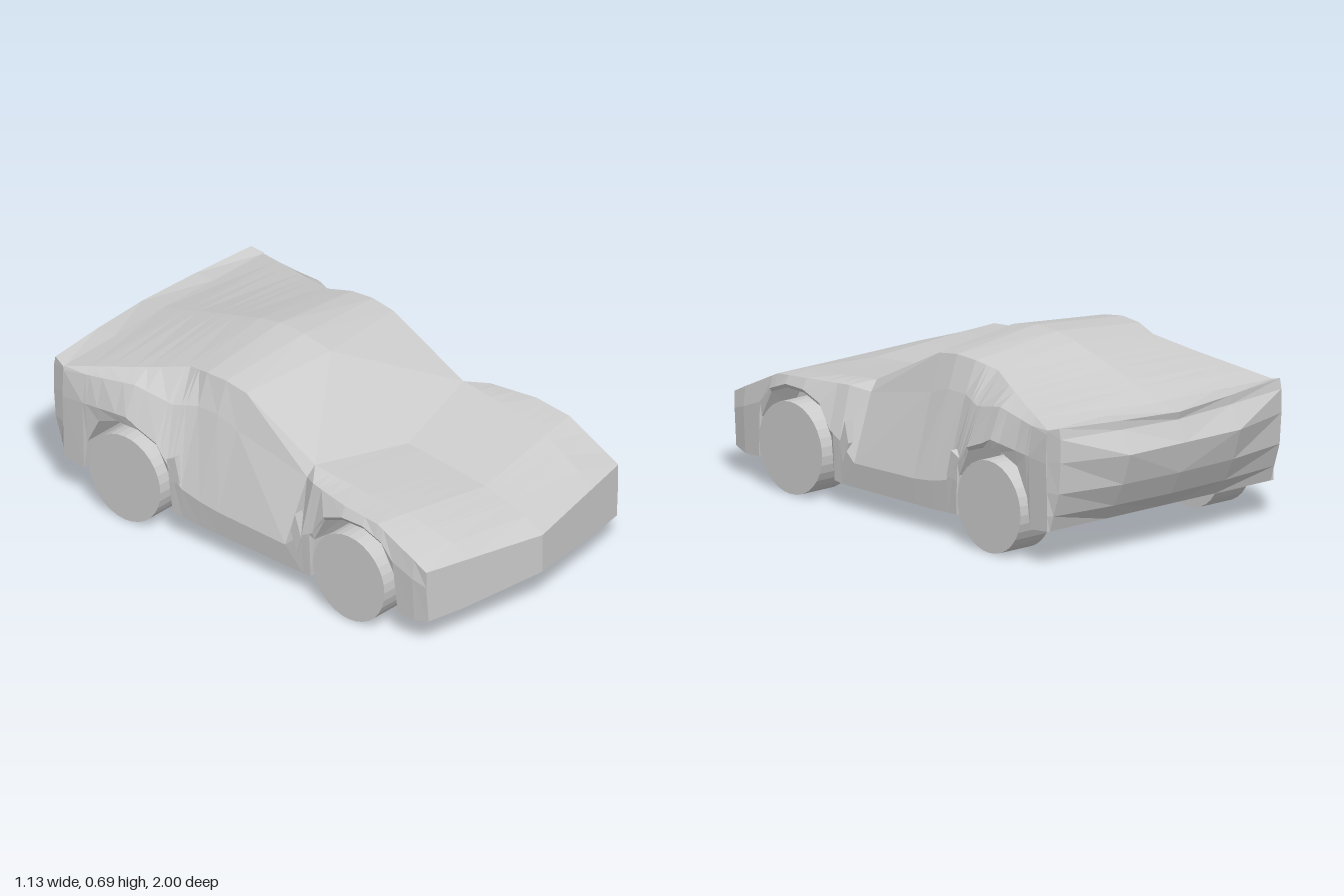
import * as THREE from 'three';

const material = new THREE.MeshStandardMaterial({ color: 0xcccccc, flatShading: true });
const WHEEL_Z = 0.55, WHEEL_R = 0.175;

// Half sections from nose to tail:
// z, forward shift of centre, centre y, roof/hood edge x y, waist x y, side x y, floor y
const SECTIONS = [
  [0.90, 0.10, 0.285, 0.35, 0.305, 0.53, 0.315, 0.53, 0.25, 0.105],
  [0.84, 0.08, 0.335, 0.35, 0.355, 0.53, 0.345, 0.54, 0.27, 0.09],
  [0.66, 0.06, 0.385, 0.38, 0.42, 0.53, 0.43, 0.545, 0.34, 0.10],
  [0.50, 0.06, 0.40, 0.40, 0.44, 0.53, 0.445, 0.55, 0.36, 0.10],
  [0.30, 0.11, 0.415, 0.41, 0.462, 0.49, 0.45, 0.545, 0.25, 0.085],
  [0.22, 0.12, 0.42, 0.41, 0.47, 0.445, 0.43, 0.545, 0.18, 0.085],
  [-0.11, 0.07, 0.665, 0.405, 0.64, 0.45, 0.50, 0.545, 0.19, 0.09],
  [-0.20, 0.03, 0.69, 0.405, 0.655, 0.45, 0.53, 0.545, 0.20, 0.09],
  [-0.29, 0, 0.69, 0.40, 0.65, 0.45, 0.53, 0.545, 0.22, 0.095],
  [-0.39, 0, 0.67, 0.38, 0.63, 0.48, 0.51, 0.55, 0.34, 0.10],
  [-0.55, 0, 0.625, 0.44, 0.59, 0.51, 0.545, 0.56, 0.43, 0.11],
  [-0.86, 0, 0.535, 0.55, 0.525, 0.555, 0.51, 0.56, 0.40, 0.14],
];

// Wheel opening outline: distance from axle, height
const ARCH = [[0, 0.39], [0.05, 0.39], [0.14, 0.355], [0.195, 0.25], [0.212, 0.09]];

function archHeight(z) {
  const d = Math.abs(Math.abs(z) - WHEEL_Z);
  for (let i = 1; i < ARCH.length; i++) {
    const [d0, y0] = ARCH[i - 1], [d1, y1] = ARCH[i];
    if (d <= d1) return y0 + (y1 - y0) * (d - d0) / (d1 - d0);
  }
  return 0;
}

// Half outline at z, from the top centre around to the raised floor centre
function sectionAt(z) {
  let i = 1;
  while (i < SECTIONS.length - 1 && SECTIONS[i][0] > z) i++;
  const a = SECTIONS[i - 1], b = SECTIONS[i];
  const t = (z - a[0]) / (b[0] - a[0]);
  const [, shift, yc, x1, y1, x2, y2, x3, y3, yf] = a.map((v, k) => v + (b[k] - v) * t);
  const ya = Math.max(yf, archHeight(z));
  const points = [[0, yc], [x1, y1], [x2, y2], [x3, Math.max(y3, ya + 0.015)],
    [x3 - 0.01, ya], [0.36, ya], [0.36, yf], [0, Math.max(yf, 0.13)]];
  return points.map(([x, y]) => [x, y, z + shift * Math.max(0, 1 - x / 0.53)]);
}

// Mirrored skin over rows of points, with optional flat ends
function mirroredSkin(rows, capped) {
  const pos = [];
  const tri = (a, b, c) => {
    pos.push(...a, ...b, ...c);
    for (const p of [a, c, b]) pos.push(-p[0], p[1], p[2]);
  };
  for (let r = 0; r + 1 < rows.length; r++) {
    for (let c = 0; c + 1 < rows[r].length; c++) {
      tri(rows[r][c], rows[r][c + 1], rows[r + 1][c]);
      tri(rows[r][c + 1], rows[r + 1][c + 1], rows[r + 1][c]);
    }
  }
  if (capped) {
    const first = rows[0], last = rows[rows.length - 1];
    for (let c = 1; c + 1 < first.length; c++) {
      tri(first[0], first[c + 1], first[c]);
      tri(last[0], last[c], last[c + 1]);
    }
  }
  const g = new THREE.BufferGeometry();
  g.setAttribute('position', new THREE.Float32BufferAttribute(pos, 3));
  g.computeVertexNormals();
  return g;
}

export function createModel() {
  const model = new THREE.Group();
  const add = (name, geometry) => {
    const mesh = new THREE.Mesh(geometry, material);
    mesh.name = name;
    model.add(mesh);
    return mesh;
  };

  // Body shell with stations added at the wheel openings
  const stations = new Set(SECTIONS.map(s => s[0]));
  for (const axle of [WHEEL_Z, -WHEEL_Z])
    for (const [d] of ARCH) stations.add(axle + d).add(axle - d);
  const zs = [...stations].sort((a, b) => b - a);
  add('body', mirroredSkin(zs.map(sectionAt), true));

  // Tail: y at centre and corner, then z at centre, at x 0.27 and at the corner
  const tail = [
    [0.535, 0.525, -0.86, -0.86, -0.86],
    [0.52, 0.54, -0.968, -0.945, -0.912],
    [0.49, 0.50, -0.96, -0.945, -0.92],
    [0.41, 0.41, -1.0, -1.0, -0.92],
    [0.29, 0.29, -0.97, -0.96, -0.91],
    [0.20, 0.20, -0.92, -0.91, -0.88],
    [0.14, 0.14, -0.86, -0.86, -0.86],
  ].map(([yc, ye, z0, z1, z2]) => [
    [0, yc, z0], [0.27, (yc + ye) / 2, z1], [0.54, ye, z2], [0.555, Math.min(ye, 0.525), -0.86],
  ]);
  add('tail', mirroredSkin(tail, false));

  // Wheels
  const wheelGeometry = new THREE.CylinderGeometry(WHEEL_R, WHEEL_R, 0.153, 32).rotateZ(Math.PI / 2);
  for (const [end, z] of [['front', WHEEL_Z], ['rear', -WHEEL_Z]])
    for (const [side, sx] of [['Left', 1], ['Right', -1]])
      add(end + side + 'Wheel', wheelGeometry).position.set(sx * 0.488, WHEEL_R, z);

  // Side vents, outlined in z and y
  const vents = {
    frontVent: [[0.30, 0.24], [0.27, 0.33], [0.25, 0.25], [0.28, 0.165]],
    rearVent: [[-0.295, 0.24], [-0.32, 0.34], [-0.36, 0.32], [-0.345, 0.23]],
  };
  for (const [name, outline] of Object.entries(vents)) {
    const shape = new THREE.Shape(outline.map(([z, y]) => new THREE.Vector2(-z, y)));
    const g = new THREE.ExtrudeGeometry(shape, { depth: 0.04, bevelEnabled: false })
      .translate(0, 0, -0.02).rotateY(Math.PI / 2);
    for (const sx of [1, -1]) add(name, g).position.x = sx * 0.527;
  }

  return model;
}
